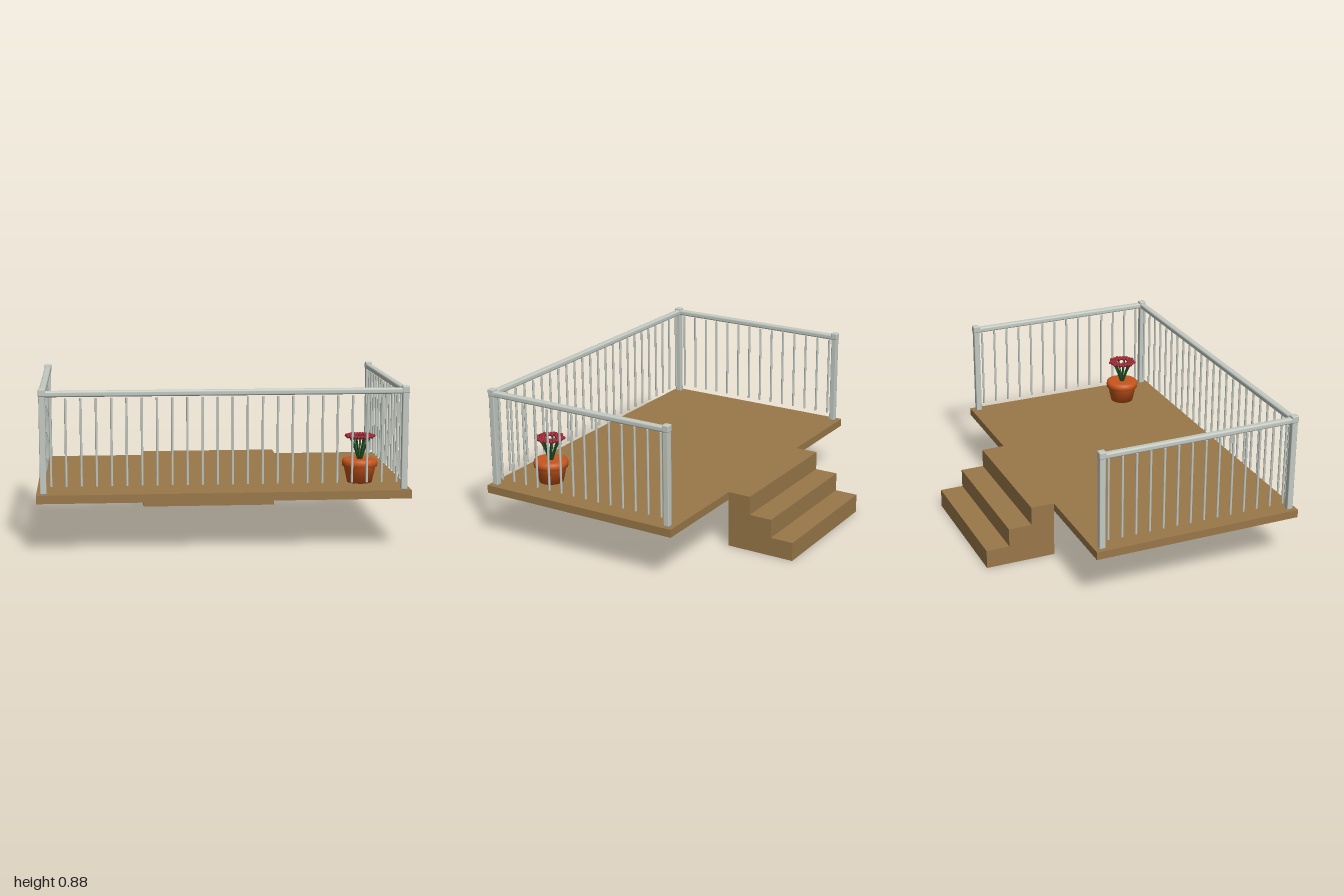
import * as THREE from 'three';
import { RoundedBoxGeometry } from 'three/addons/geometries/RoundedBoxGeometry.js';

const mat = (name, color) => Object.assign(new THREE.MeshStandardMaterial({ color }), { name });

export function createModel() {
  const wood = mat('wood', 0x9a784a);
  const metal = mat('paleGreyRail', 0xc3cac2);
  const clay = mat('terracotta', 0xc8561c);
  const green = mat('stemGreen', 0x1d4a20);
  const red = mat('petalRed', 0x97202e);

  const model = new THREE.Group();
  model.name = 'deck';
  const add = (parent, name, geometry, material, x = 0, y = 0, z = 0) => {
    const mesh = new THREE.Mesh(geometry, material);
    mesh.name = name;
    mesh.position.set(x, y, z);
    parent.add(mesh);
    return mesh;
  };
  const group = (name) => {
    const g = new THREE.Group();
    g.name = name;
    model.add(g);
    return g;
  };

  // Platform
  add(model, 'platform', new THREE.BoxGeometry(2, 0.045, 1.2), wood, 0, 0.2975, 0.2);

  // Three solid steps down the back
  const steps = group('steps');
  const depth = 0.4 / 3;
  for (let i = 0; i < 3; i++) {
    const h = 0.32 * (3 - i) / 3;
    add(steps, 'step', new THREE.BoxGeometry(0.8, h, depth), wood, 0, h / 2, -0.4 - depth * (i + 0.5));
  }

  // Railing on the front and both sides
  const railing = group('railing');
  const postX = 0.962, frontZ = 0.762, backZ = -0.358;
  const postGeo = new RoundedBoxGeometry(0.034, 0.54, 0.034, 2, 0.005);
  const capGeo = new RoundedBoxGeometry(0.04, 0.04, 0.04, 2, 0.006);
  for (const x of [-postX, postX]) {
    for (const z of [frontZ, backZ]) {
      add(railing, 'post', postGeo, metal, x, 0.59, z);
      add(railing, 'postCap', capGeo, metal, x, 0.86, z);
    }
    add(railing, 'sideRail', new RoundedBoxGeometry(0.036, 0.032, frontZ - backZ, 3, 0.01),
      metal, x, 0.853, (frontZ + backZ) / 2);
  }
  add(railing, 'frontRail', new RoundedBoxGeometry(postX * 2, 0.032, 0.036, 3, 0.01), metal, 0, 0.853, frontZ);

  // Balusters, evenly spaced
  const barGeo = new THREE.CylinderGeometry(0.0065, 0.0065, 0.47, 10);
  for (let i = 0; i < 24; i++) add(railing, 'baluster', barGeo, metal, -0.92 + i * 0.08, 0.595, frontZ);
  for (const x of [-postX, postX]) {
    for (let i = 0; i < 14; i++) add(railing, 'baluster', barGeo, metal, x, 0.595, 0.72 - i * 0.08);
  }

  // Flower pot
  const plant = group('pottedPlant');
  plant.position.set(0.76, 0.32, 0.536);
  const profile = [[0, 0], [0.068, 0], [0.087, 0.088], [0.095, 0.09], [0.098, 0.108],
    [0.094, 0.125], [0.08, 0.131], [0.05, 0.128], [0, 0.126]];
  add(plant, 'pot', new THREE.LatheGeometry(profile.map(([r, y]) => new THREE.Vector2(r, y)), 32), clay);

  // Fanned stems, each with a flat cluster of round petals
  const petalGeo = new THREE.SphereGeometry(0.0095, 10, 8);
  const heads = 9;
  for (let i = 0; i < heads; i++) {
    const a = (i / heads) * Math.PI * 2;
    const at = (r, y) => new THREE.Vector3(Math.cos(a) * r, y, Math.sin(a) * r);
    const curve = new THREE.CatmullRomCurve3([at(0.008, 0.12), at(0.026, 0.18), at(0.058, 0.255)]);
    add(plant, 'stem', new THREE.TubeGeometry(curve, 8, 0.005, 8), green);
    const c = at(0.058, 0.255);
    add(plant, 'petal', petalGeo, red, c.x, c.y, c.z);
    for (let k = 0; k < 6; k++) {
      const b = a + (k / 6) * Math.PI * 2;
      add(plant, 'petal', petalGeo, red, c.x + Math.cos(b) * 0.0175, c.y, c.z + Math.sin(b) * 0.0175);
    }
  }

  return model;
}
